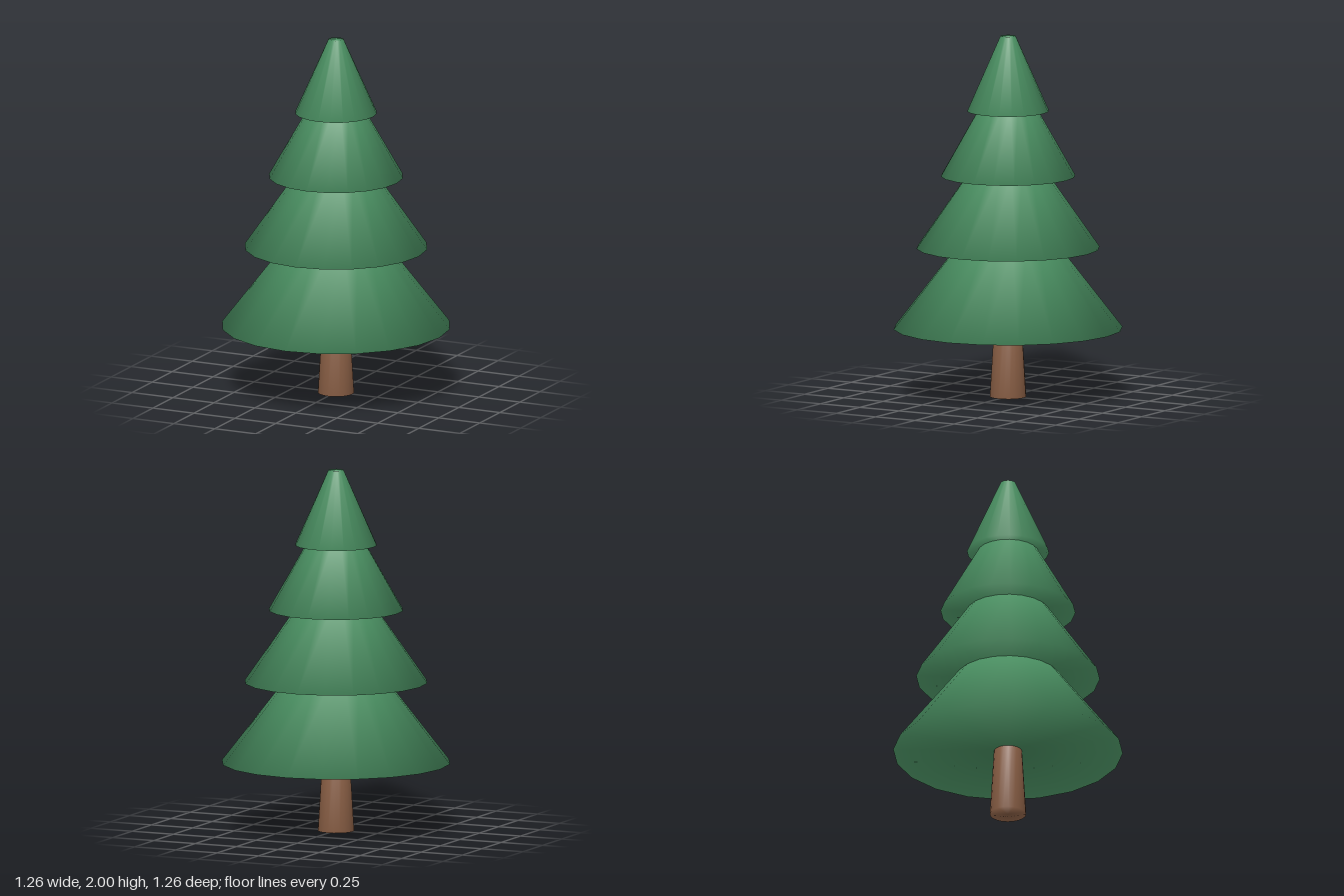
import * as THREE from 'three';
import { mergeVertices } from 'three/addons/utils/BufferGeometryUtils.js';

const SIDES = 20;

// Capped, tapered 20-sided solid whose normals run smoothly over its rims.
function frustum(name, material, y0, r0, y1, r1) {
  let geometry = new THREE.CylinderGeometry(r1, r0, y1 - y0, SIDES);
  geometry.deleteAttribute('normal');
  geometry.deleteAttribute('uv');
  geometry = mergeVertices(geometry);
  geometry.computeVertexNormals();
  const mesh = new THREE.Mesh(geometry, material);
  mesh.name = name;
  mesh.position.y = (y0 + y1) / 2;
  return mesh;
}

export function createModel() {
  const needles = new THREE.MeshStandardMaterial({ color: 0x4a9062 });
  needles.name = 'needleGreen';
  const bark = new THREE.MeshStandardMaterial({ color: 0x8a5f45 });
  bark.name = 'barkBrown';

  const tree = new THREE.Group();
  tree.name = 'pineTree';

  // Trunk, slightly flared at the foot
  tree.add(frustum('trunk', bark, 0, 0.1, 0.4, 0.076));

  // Branch tiers from bottom to top: base height, base radius,
  // height and radius where the next tier starts
  const tiers = [
    [0.38, 0.63, 0.826, 0.285],
    [0.826, 0.504, 1.225, 0.226],
    [1.225, 0.37, 1.585, 0.166],
    [1.585, 0.225, 2, 0.042],
  ];
  tiers.forEach(([y0, r0, y1, r1], i) => {
    // Lower tiers continue a little way up inside the one above
    const extra = i < tiers.length - 1 ? 0.04 : 0;
    const slope = (r1 - r0) / (y1 - y0);
    tree.add(frustum(`branchTier${i + 1}`, needles, y0, r0, y1 + extra, r1 + slope * extra));
  });

  return tree;
}
